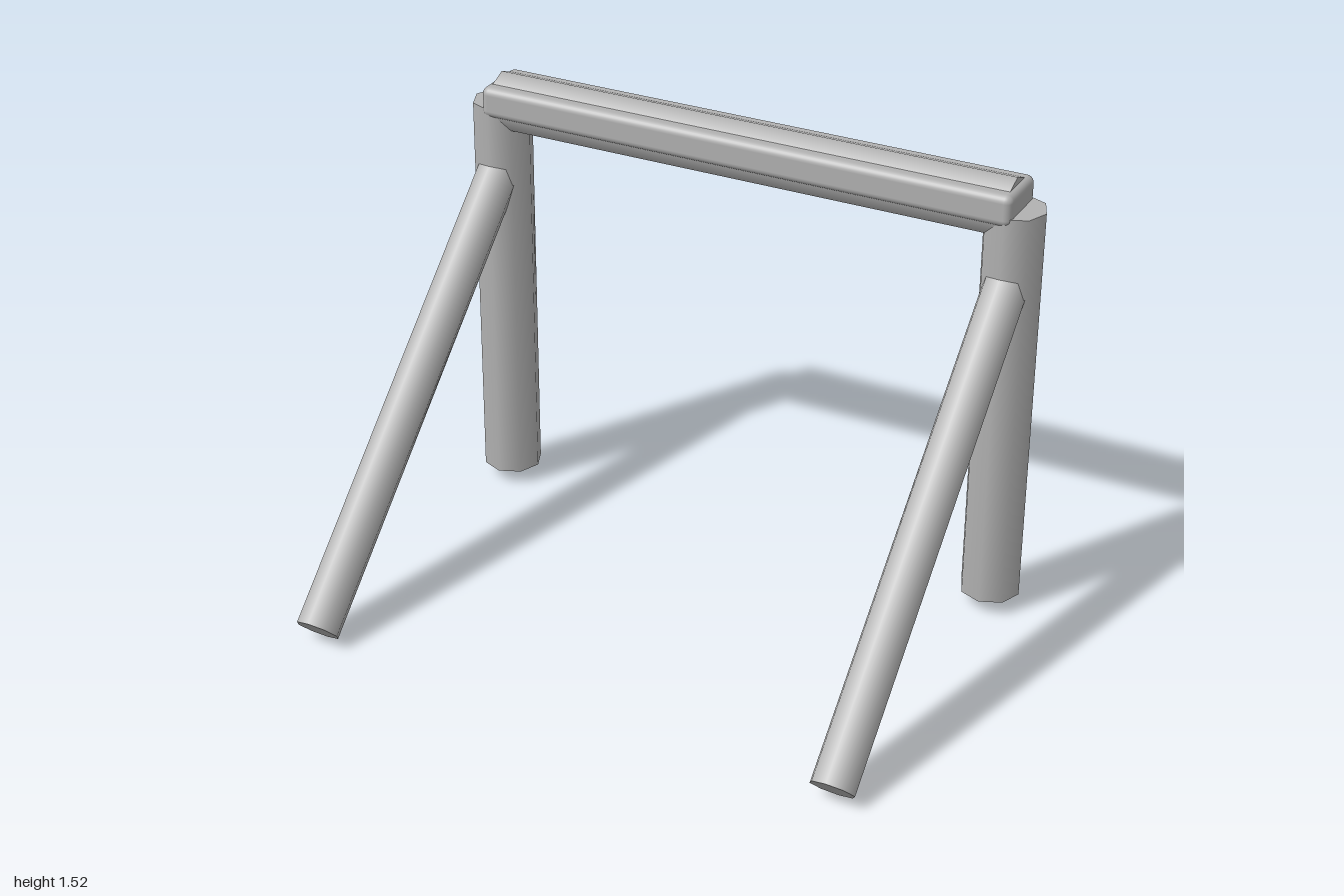
import * as THREE from 'three';
import { RoundedBoxGeometry } from 'three/addons/geometries/RoundedBoxGeometry.js';

const gray = new THREE.MeshStandardMaterial({ color: 0xb2b2b2 });
gray.name = 'gray';

// Eight-sided log between two points
function log(name, radius, from, to) {
  const a = new THREE.Vector3(...from);
  const b = new THREE.Vector3(...to);
  const axis = b.clone().sub(a);
  const mesh = new THREE.Mesh(new THREE.CylinderGeometry(radius, radius, axis.length(), 8), gray);
  mesh.name = name;
  mesh.position.copy(a).add(b).multiplyScalar(0.5);
  mesh.quaternion.setFromUnitVectors(new THREE.Vector3(0, 1, 0), axis.normalize());
  return mesh;
}

export function createModel() {
  const model = new THREE.Group();
  model.name = 'timberFrame';
  const z = -0.59;

  // Upright posts and slanting braces, one pair per side
  for (const [side, x] of [['left', 0.9], ['right', -0.9]]) {
    model.add(log(side + 'Post', 0.1, [x, 0.055, z], [x, 1.42, z]));
    model.add(log(side + 'Brace', 0.073, [x, 0.058, 0.646], [x, 1.212, z]));
  }

  // Crossbeam log whose ridge shows above the cap
  model.add(log('crossbeam', 0.1, [-0.9, 1.42, z], [0.9, 1.42, z]));

  // Rounded cap wrapped around the crossbeam
  const cap = new THREE.Mesh(new RoundedBoxGeometry(1.845, 0.105, 0.206, 3, 0.025), gray);
  cap.name = 'beamCap';
  cap.position.set(0, 1.443, z);
  model.add(cap);

  return model;
}
